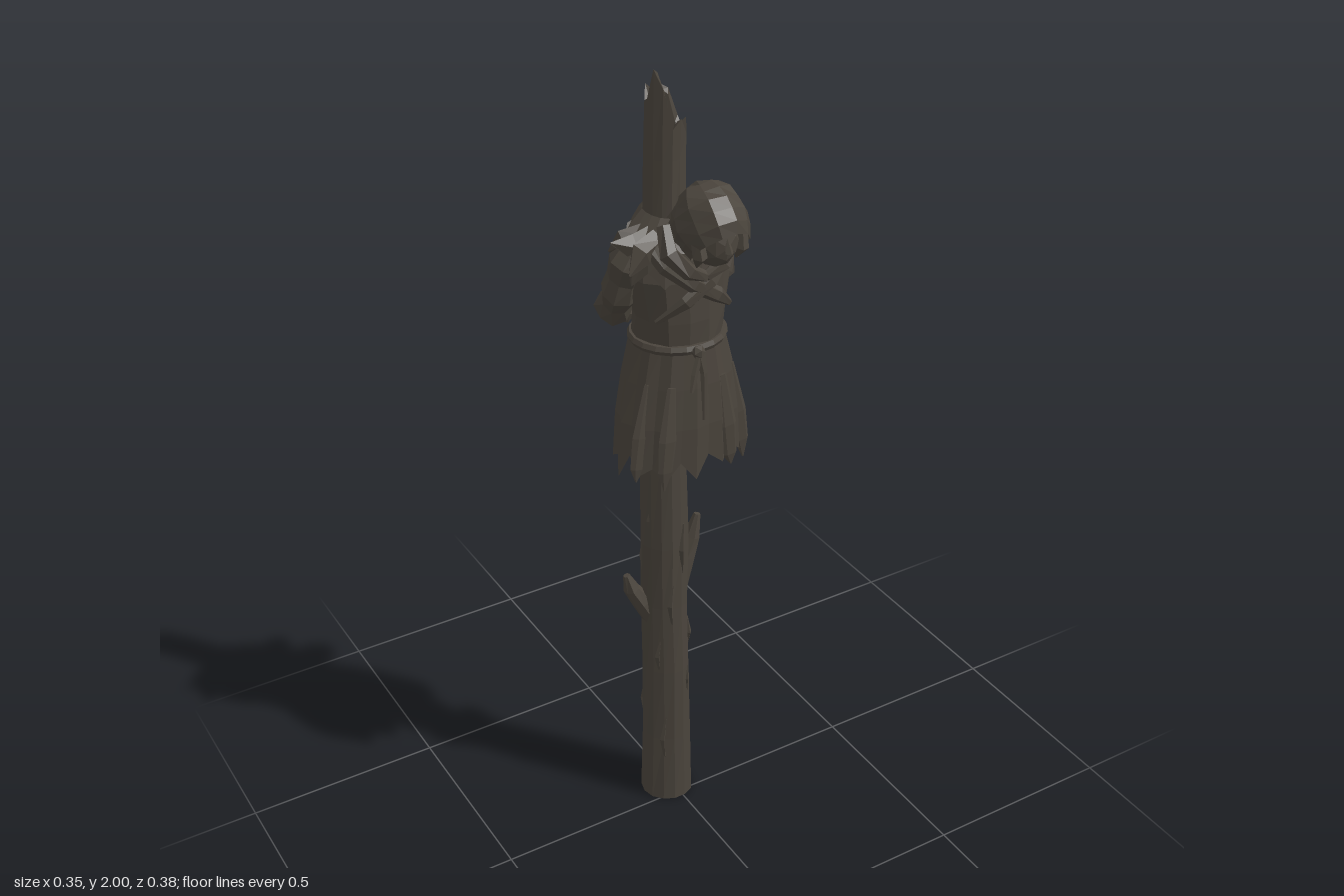
import * as THREE from 'three';

const V = (x, y, z) => new THREE.Vector3(x, y, z);
const cloth = new THREE.MeshStandardMaterial({ color: 0x4a443c, flatShading: true, side: THREE.DoubleSide });
cloth.name = 'weathered brown';

// Repeatable noise in -1..1
const noise = (i, j = 0) => {
  const s = Math.sin(i * 127.1 + j * 311.7) * 43758.5453;
  return 2 * (s - Math.floor(s)) - 1;
};

// Skins a list of equal-length rings of points, with optional end caps
function skin(rings, capStart = true, capEnd = true) {
  const n = rings[0].length, pos = [], idx = [];
  rings.forEach(r => r.forEach(p => pos.push(p.x, p.y, p.z)));
  for (let i = 0; i < rings.length - 1; i++) for (let j = 0; j < n; j++) {
    const a = i * n + j, b = i * n + (j + 1) % n;
    idx.push(a, a + n, b, b, a + n, b + n);
  }
  const cap = (ring, start, flip) => {
    const c = ring.reduce((s, p) => s.add(p), V(0, 0, 0)).divideScalar(n), k = pos.length / 3;
    pos.push(c.x, c.y, c.z);
    for (let j = 0; j < n; j++) {
      const a = start + j, b = start + (j + 1) % n;
      idx.push(k, flip ? a : b, flip ? b : a);
    }
  };
  if (capStart) cap(rings[0], 0, true);
  if (capEnd) cap(rings[rings.length - 1], (rings.length - 1) * n, false);
  const g = new THREE.BufferGeometry();
  g.setAttribute('position', new THREE.Float32BufferAttribute(pos, 3));
  g.setIndex(idx);
  g.computeVertexNormals();
  return g;
}

// Horizontal ring: x and z limits, radius and height varied per vertex
function ring(y, x0, x1, z0, z1, n, grow = () => 1, lift = () => 0) {
  return Array.from({ length: n }, (_, j) => {
    const a = j / n * Math.PI * 2, k = grow(j);
    return V((x0 + x1) / 2 + Math.cos(a) * (x1 - x0) / 2 * k, y + lift(j),
      (z0 + z1) / 2 + Math.sin(a) * (z1 - z0) / 2 * k);
  });
}

// Tapered limb along points; flat squashes it front to back
function limb(pts, radii, n = 6, rough = 0, flat = 1) {
  const P = pts.map(p => V(...p));
  return skin(P.map((p, i) => {
    const t = P[Math.min(i + 1, P.length - 1)].clone().sub(P[Math.max(i - 1, 0)]).normalize();
    const ref = Math.abs(t.z) > 0.9 ? V(0, 1, 0) : V(0, 0, 1);
    const u = t.clone().cross(ref).normalize(), v = u.clone().cross(t);
    return Array.from({ length: n }, (_, j) => {
      const a = j / n * Math.PI * 2, r = radii[i] * (1 + rough * noise(i + 3, j));
      return p.clone().addScaledVector(u, Math.cos(a) * r).addScaledVector(v, Math.sin(a) * r * flat);
    });
  }));
}

export function createModel() {
  const model = new THREE.Group();
  const add = (name, geo) => {
    const m = new THREE.Mesh(geo, cloth);
    m.name = name;
    model.add(m);
    return m;
  };

  // Post with uneven sides and a hollow, splintered top
  const N = 14, bark = k => j => 1 + 0.06 * noise(j, 1) + 0.035 * noise(j, k);
  const splinter = [-0.06, -0.02, -0.05, -0.01, -0.03, 0.06, 0.1, 0.03, 0.02, 0.05, 0.0, 0.04, 0.03, -0.03];
  const top = j => splinter[j];
  add('post', skin([
    ring(0, -0.075, 0.055, -0.115, 0.02, N, bark(2)),
    ring(0.2, -0.07, 0.05, -0.11, 0.018, N, bark(3)),
    ring(0.42, -0.068, 0.046, -0.107, 0.018, N, bark(4)),
    ring(0.62, -0.07, 0.04, -0.105, 0.015, N, bark(5)),
    ring(0.8, -0.072, 0.045, -0.098, 0.015, N, bark(6)),
    ring(1.05, -0.07, 0.037, -0.095, 0.012, N, bark(7)),
    ring(1.6, -0.058, 0.037, -0.095, 0.005, N, bark(8)),
    ring(1.8, -0.053, 0.037, -0.095, 0.002, N, bark(9)),
    ring(1.9, -0.05, 0.04, -0.093, 0, N, bark(10), top),
    ring(1.89, -0.036, 0.028, -0.078, -0.014, N, bark(10), top),
    ring(1.76, -0.03, 0.02, -0.07, -0.02, N)]));

  // Raised strips of bark
  for (let i = 0; i < 16; i++) {
    const a = i * 2.4, y = 0.05 + (i * 0.37 % 0.85), h = 0.12 + 0.05 * noise(i);
    const at = (da, dy, k) => [-0.013 + Math.cos(a + da) * 0.056 * k, y + dy, -0.045 + Math.sin(a + da) * 0.06 * k];
    add('barkStrip', limb([at(0, 0, 0.98), at(0.1, h * 0.5, 1.03), at(-0.05, h, 0.98)], [0.002, 0.008, 0.002], 4));
  }

  // Broken branches
  add('leftBranch', limb([[0.015, 0.64, -0.045], [0.04, 0.73, -0.045], [0.062, 0.78, -0.043], [0.077, 0.84, -0.042]],
    [0.03, 0.028, 0.021, 0.008], 7, 0.12));
  add('rightBranch', limb([[-0.04, 0.55, -0.05], [-0.075, 0.62, -0.058], [-0.1, 0.665, -0.062], [-0.113, 0.71, -0.063]],
    [0.025, 0.026, 0.02, 0.008], 7, 0.12));

  // Ragged skirt with folds and a torn hem
  const S = 26, fold = k => j => 1 + k * (j % 2 ? 1 : -1) + k * 0.5 * noise(j, 5);
  add('skirt', skin([
    ring(1.085, -0.157, 0.155, -0.117, 0.11, S, fold(0.035), j => (j % 2 ? -0.022 : 0.015) + 0.02 * noise(j, 8)),
    ring(1.19, -0.148, 0.148, -0.12, 0.11, S, fold(0.03)),
    ring(1.29, -0.13, 0.133, -0.118, 0.103, S, fold(0.025)),
    ring(1.385, -0.108, 0.11, -0.11, 0.092, S, fold(0.02))], false, false));
  for (const [x, z, y] of [[-0.09, 0.096, 1.04], [0.075, 0.1, 1.06], [0.13, 0.06, 1.04], [-0.135, 0.05, 1.055]])
    add('tornStrip', limb([[x * 0.78, 1.3, z * 0.9], [x * 0.95, 1.17, z], [x * 1.04, 1.09, z], [x * 1.08, y, z]],
      [0.012, 0.024, 0.02, 0.002], 6, 0.1, 0.35));

  // Torso, gathered around the post at the top
  const T = 14, rough = k => j => 1 + 0.04 * noise(j, k);
  add('torso', skin([
    ring(1.36, -0.105, 0.105, -0.108, 0.088, T, rough(11)),
    ring(1.45, -0.11, 0.112, -0.1, 0.09, T, rough(12)),
    ring(1.55, -0.122, 0.124, -0.1, 0.09, T, rough(13)),
    ring(1.61, -0.115, 0.118, -0.1, 0.078, T, rough(14)),
    ring(1.66, -0.075, 0.08, -0.1, 0.05, T, rough(15))]));

  // Torn shoulder mantle
  add('mantle', skin([
    ring(1.565, -0.14, 0.142, -0.108, 0.098, 20, fold(0.04), j => (j % 2 ? -0.02 : 0.015)),
    ring(1.62, -0.133, 0.136, -0.108, 0.088, 20, fold(0.02)),
    ring(1.655, -0.095, 0.1, -0.106, 0.06, 20, rough(16)),
    ring(1.68, -0.066, 0.066, -0.104, 0.04, 20, rough(17))], false, false));

  // Belt, knot and hanging ends
  const belt = new THREE.TorusGeometry(1, 0.1, 6, 20).rotateX(Math.PI / 2).scale(0.107, 0.12, 0.098);
  add('belt', belt).position.set(0, 1.385, -0.008);
  add('beltKnot', new THREE.IcosahedronGeometry(0.017, 0)).position.set(-0.01, 1.382, 0.1);
  for (const [x, y] of [[-0.035, 1.29], [0.0, 1.21]])
    add('beltEnd', limb([[-0.01, 1.38, 0.105], [x * 0.7, 1.33, 0.108], [x, y, 0.112]], [0.008, 0.009, 0.005], 5, 0.1, 0.6));

  for (const s of [-1, 1]) {
    const side = s > 0 ? 'left' : 'right';
    const m = pts => pts.map(([x, y, z]) => [x * s, y, z]);

    // Sleeves drawn back behind the post
    add(side + 'Sleeve', limb(m([[0.095, 1.62, -0.01], [0.118, 1.575, -0.015], [0.123, 1.54, -0.03], [0.125, 1.5, -0.045],
      [0.124, 1.47, -0.065], [0.118, 1.44, -0.088], [0.1, 1.425, -0.108], [0.075, 1.412, -0.122], [0.05, 1.4, -0.138]]),
    [0.035, 0.045, 0.037, 0.044, 0.036, 0.043, 0.031, 0.035, 0.024], 8, 0.1));
    add(side + 'Cuff', limb(m([[0.062, 1.408, -0.13], [0.04, 1.395, -0.145]]), [0.028, 0.024], 7, 0.1));

    // Hands crossed at the wrists
    const dy = s * 0.014;
    add(side + 'Hand', limb(m([[0.045, 1.398, -0.142], [0.02, 1.385 + dy, -0.158], [-0.01, 1.372 + dy, -0.165]]),
      [0.014, 0.02, 0.014], 6, 0.05, 0.7));
    for (let f = 0; f < 4; f++) {
      const x = 0.008 - f * 0.011, y = 1.388 + dy - f * 0.009;
      add(side + 'Finger', limb(m([[x, y, -0.162], [x - 0.01, y - 0.012, -0.182], [x - 0.014, y - 0.036, -0.188]]),
        [0.007, 0.006, 0.003], 5));
    }

    // Pointed shoulder flaps
    const z = s > 0 ? -0.045 : 0;
    for (const [x, y, dz] of [[0.172, 1.645, 0], [0.157, 1.585, 0.055], [0.15, 1.6, -0.05]])
      add(side + 'ShoulderFlap', limb(m([[0.07, 1.635, z * 0.5 + dz * 0.4], [0.12, 1.62, z + dz * 0.7], [x, y, z + dz]]),
        [0.028, 0.03, 0.002], 5, 0.15, 0.8));

    // Crossed wraps on chest and back
    add(side + 'ChestWrap', limb(m([[0.1, 1.645, 0.02], [0.075, 1.6, 0.075], [0.02, 1.55, 0.1], [-0.04, 1.51, 0.097], [-0.095, 1.46, 0.06]]),
      [0.018, 0.022, 0.02, 0.018, 0.008], 6, 0.15, 0.6));
    add(side + 'BackWrap', limb(m([[0.085, 1.65, -0.05], [0.065, 1.6, -0.095], [0.0, 1.53, -0.113], [-0.07, 1.47, -0.095]]),
      [0.02, 0.022, 0.018, 0.012], 6, 0.15, 0.6));
    add(side + 'HoodDrape', limb(m([[0.07, 1.68, 0.05], [0.075, 1.63, 0.085], [0.04, 1.59, 0.11], [0, 1.57, 0.112]]),
      [0.016, 0.022, 0.02, 0.012], 6, 0.15));
  }

  // Bowed head under a faceted hood open to the front and below
  add('neck', limb([[0, 1.58, 0.0], [0.01, 1.64, 0.035], [0.02, 1.69, 0.08]], [0.07, 0.068, 0.06], 9, 0.06));
  const hood = new THREE.SphereGeometry(1, 11, 7, 0, Math.PI * 2, 0, 2.2).rotateX(-0.75).scale(0.081, 0.095, 0.096);
  const p = hood.attributes.position;
  for (let i = 0; i < p.count; i++) {
    const k = 1 + 0.04 * noise(Math.round(p.getX(i) * 500), Math.round(p.getY(i) * 500));
    p.setXYZ(i, p.getX(i) * k, p.getY(i) * k, p.getZ(i) * k);
  }
  add('hood', hood).position.set(0.02, 1.683, 0.098);
  add('face', new THREE.IcosahedronGeometry(1, 1).scale(0.05, 0.062, 0.055)).position.set(0.02, 1.655, 0.115);
  add('nose', limb([[0.02, 1.675, 0.158], [0.02, 1.645, 0.174], [0.02, 1.64, 0.155]], [0.006, 0.01, 0.006], 4));
  for (const x of [-0.035, 0.075])
    add('hoodTatter', limb([[x, 1.67, 0.13], [x * 0.95, 1.635, 0.14], [x * 0.9, 1.605, 0.125]], [0.014, 0.016, 0.002], 5, 0.1, 1.2));
  return model;
}
